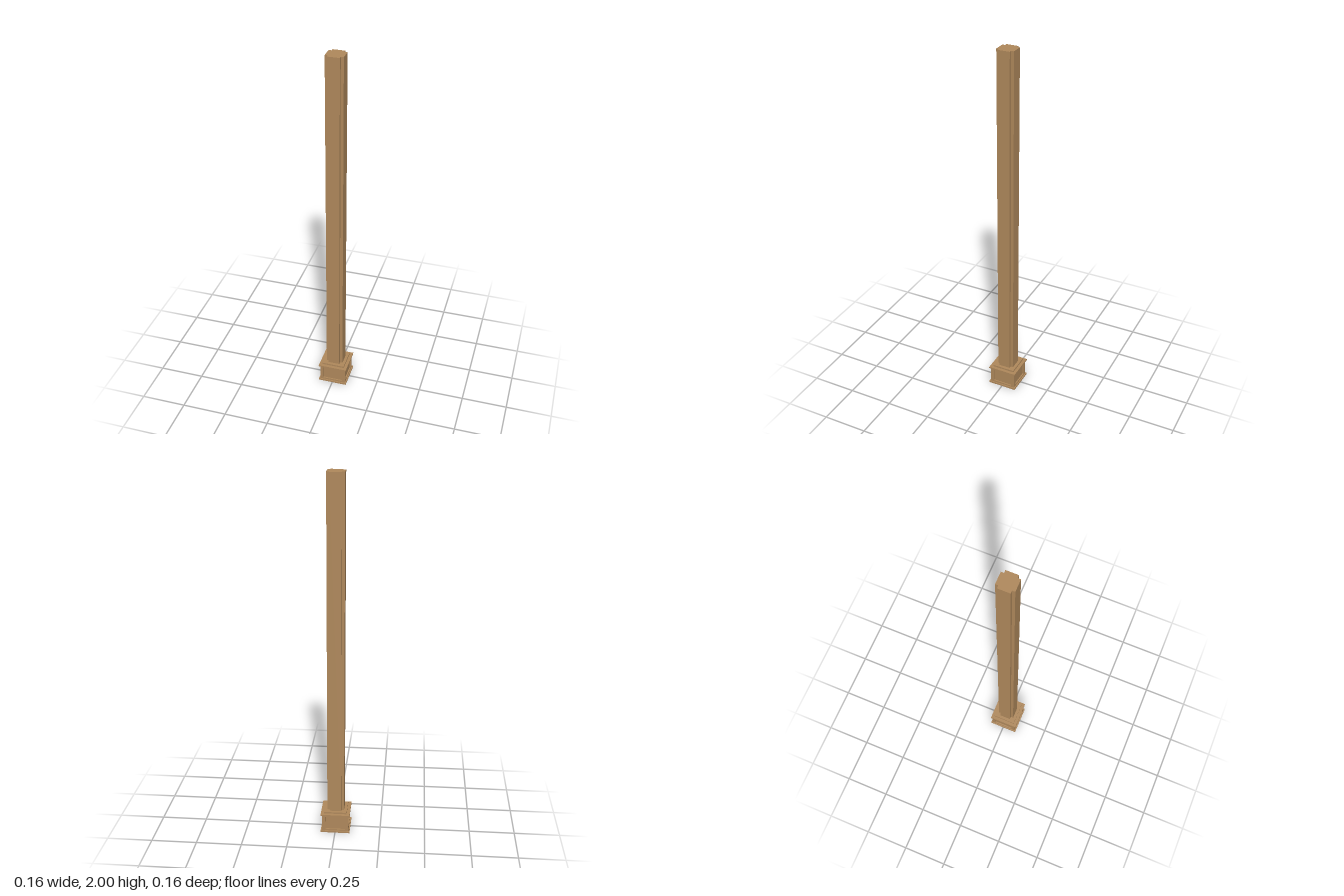
import * as THREE from 'three';

export function createModel() {
  const group = new THREE.Group();
  const wood = new THREE.MeshStandardMaterial({ color: 0xb0895c });
  wood.name = 'wood';

  const add = (name, geometry, parent = group) => {
    const mesh = new THREE.Mesh(geometry, wood);
    mesh.name = name;
    parent.add(mesh);
    return mesh;
  };

  // Square slab given by half width, bottom and top
  const slab = (name, half, y0, y1) => {
    add(name, new THREE.BoxGeometry(half * 2, y1 - y0, half * 2)).position.y = (y0 + y1) / 2;
  };

  const body = 0.074, depth = 0.007, core = body - depth;
  slab('bottomMoulding', 0.081, 0, 0.009);
  slab('plinthCore', core, 0.009, 0.102);
  slab('topMoulding', 0.081, 0.102, 0.110);
  slab('shaftCollar', 0.0635, 0.110, 0.119);

  // Raised frames around the sunken plinth panels
  const rect = (path, w, y0, y1) => path.moveTo(-w, y0).lineTo(w, y0).lineTo(w, y1).lineTo(-w, y1).closePath();
  for (let i = 0; i < 4; i++) {
    const shape = rect(new THREE.Shape(), i % 2 ? core : body, 0.009, 0.102);
    shape.holes.push(rect(new THREE.Path(), 0.055, 0.018, 0.094));
    const frame = new THREE.ExtrudeGeometry(shape, { depth, bevelEnabled: false });
    frame.translate(0, 0, core);
    add('panelFrame', frame).rotation.y = i * Math.PI / 2;
  }

  // Shaft with a square notch along each corner
  const a = 0.047, b = 0.032;
  const section = new THREE.Shape([
    [a, -b], [a, b], [b, b], [b, a], [-b, a], [-b, b],
    [-a, b], [-a, -b], [-b, -b], [-b, -a], [b, -a], [b, -b],
  ].map(([x, y]) => new THREE.Vector2(x, y)));
  const shaft = new THREE.ExtrudeGeometry(section, { depth: 2 - 0.119, bevelEnabled: false });
  shaft.rotateX(-Math.PI / 2);
  add('shaft', shaft).position.y = 0.119;

  return group;
}
